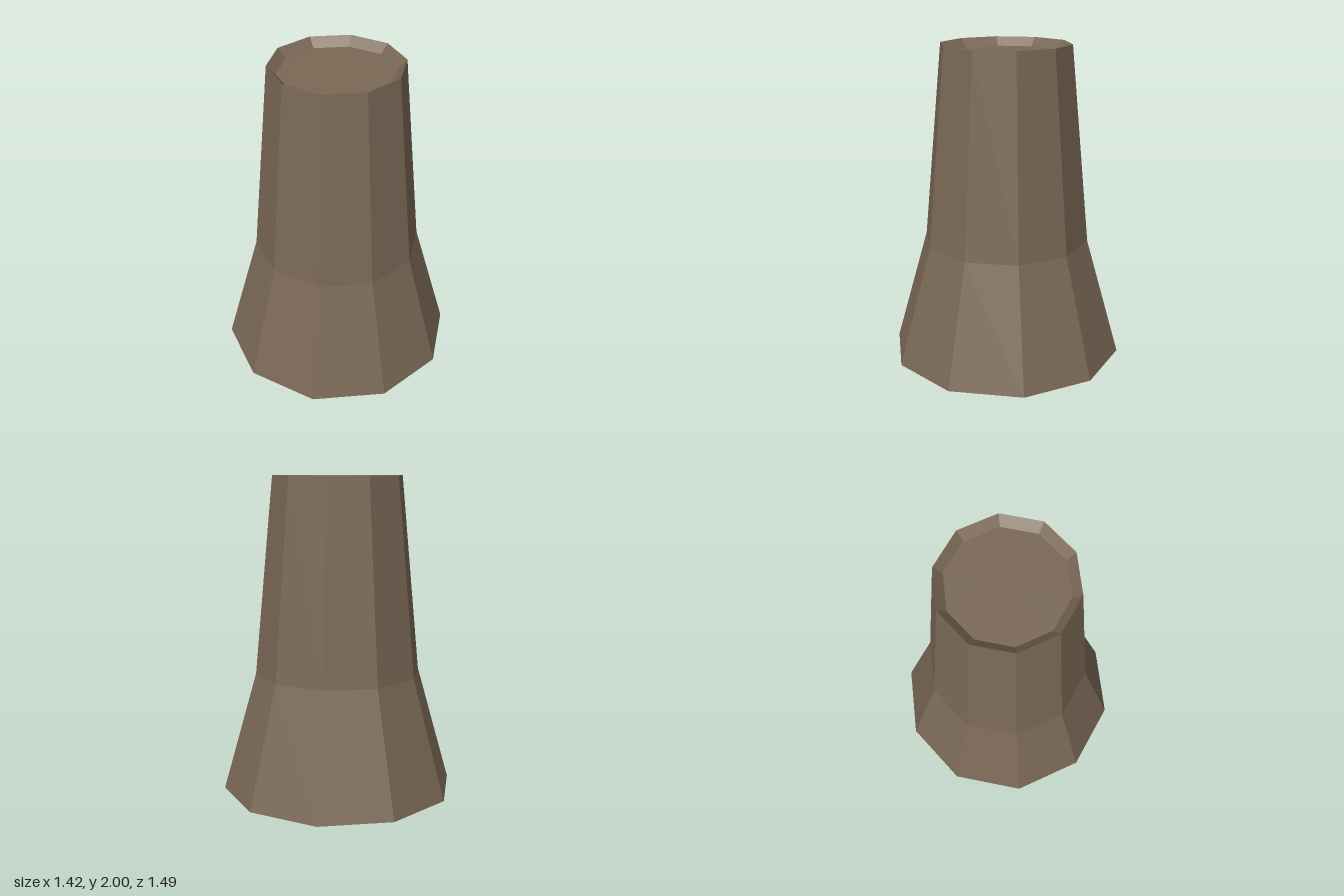
import * as THREE from 'three';

const SIDES = 10;

export function createModel() {
  const group = new THREE.Group();
  const brown = new THREE.MeshStandardMaterial({ color: 0x7a6855 });
  brown.name = 'earthBrown';

  // Faceted ring between two [radius, height] levels
  const addRing = (name, from, to) => {
    const points = [new THREE.Vector2(...from), new THREE.Vector2(...to)];
    const geometry = new THREE.LatheGeometry(points, SIDES).toNonIndexed();
    geometry.computeVertexNormals();
    const mesh = new THREE.Mesh(geometry, brown);
    mesh.name = name;
    group.add(mesh);
  };

  // Flat ten-sided disc, corners pointing to the front and back
  const addDisc = (name, radius, y, tilt) => {
    const geometry = new THREE.CircleGeometry(radius, SIDES, Math.PI / 2);
    geometry.rotateX(tilt);
    const mesh = new THREE.Mesh(geometry, brown);
    mesh.name = name;
    mesh.position.y = y;
    group.add(mesh);
  };

  // Outer walls, from the ground up, then the bevel into the shallow recess
  const foot = [0.745, 0], waist = [0.53, 0.755], rim = [0.41, 2], recess = [0.355, 1.945];
  addRing('flaredBase', foot, waist);
  addRing('taperedShaft', waist, rim);
  addRing('recessBevel', rim, recess);

  // Closing faces
  addDisc('underside', foot[0], foot[1], Math.PI / 2);
  addDisc('recessFloor', recess[0], recess[1], -Math.PI / 2);

  return group;
}
